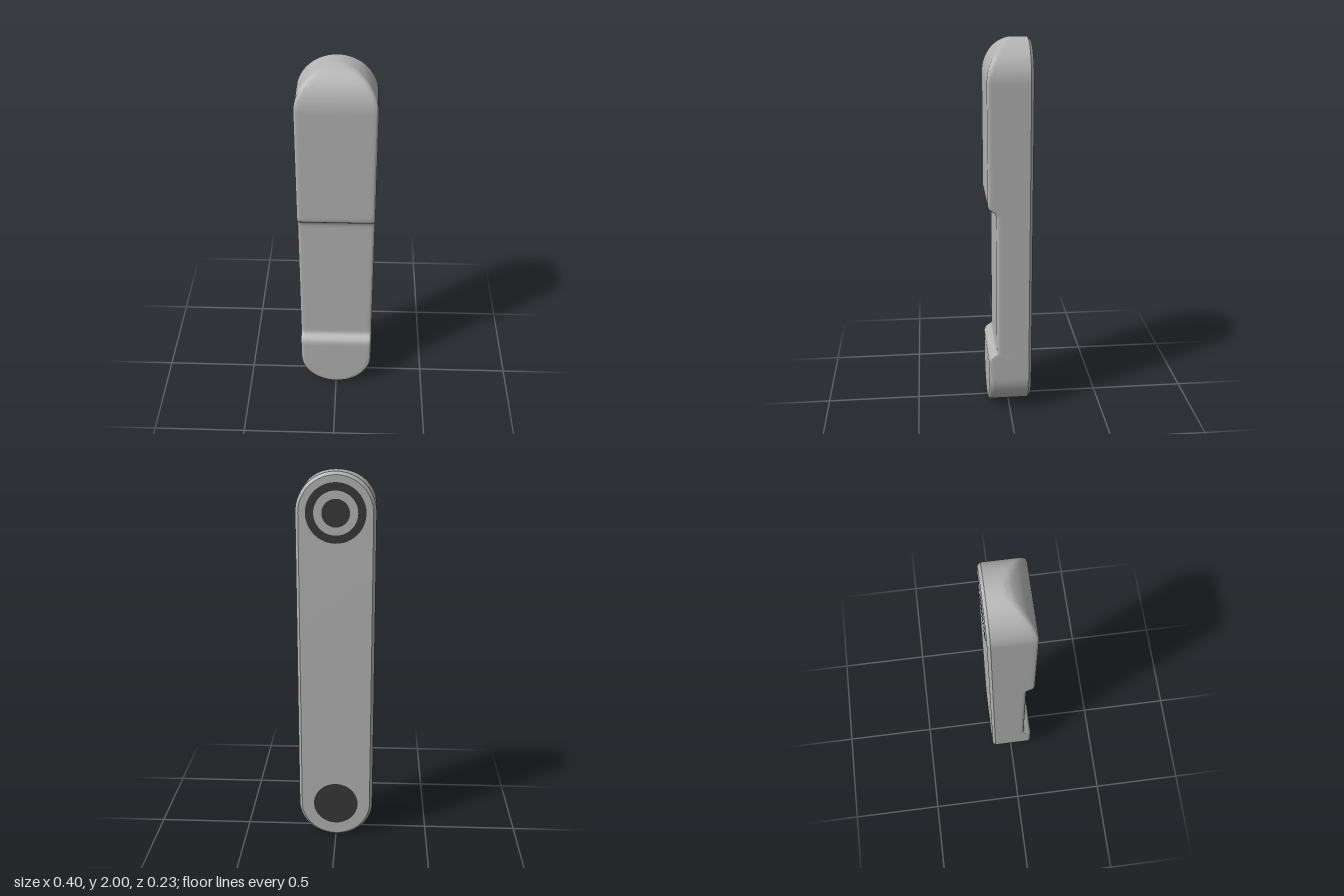
import * as THREE from 'three';
import { toCreasedNormals } from 'three/addons/utils/BufferGeometryUtils.js';

const R = 0.2, TOP = 1.8, BOTTOM = 0.2, DEPTH = 0.115, EDGE = 0.015;
const DOME = 0.231; // radius of the rounded-off top front

// Front depth by height: foot, recessed grip, raised head
const PROFILE = [
  [0.2, 0.115], [0.29, 0.115], [0.31, 0.115], [0.325, 0.111], [0.335, 0.104], [0.343, 0.094],
  [0.349, 0.083], [0.357, 0.075], [0.368, 0.072], [0.385, 0.072], [0.75, 0.072], [1.105, 0.072],
  [1.122, 0.072], [1.138, 0.075], [1.149, 0.082], [1.156, 0.092], [1.163, 0.103], [1.171, 0.111],
  [1.185, 0.115], [1.205, 0.115], [1.5, 0.115], [1.78, 0.115], [1.8, 0.115],
];

function frontDepth(y) {
  if (y <= BOTTOM) return DEPTH;
  if (y >= TOP) return DEPTH - DOME + Math.sqrt(DOME ** 2 - (y - TOP) ** 2);
  const i = PROFILE.findIndex((p) => p[0] >= y);
  if (i === 0) return PROFILE[0][1];
  const [y0, z0] = PROFILE[i - 1], [y1, z1] = PROFILE[i];
  return z0 + (z1 - z0) * (y - y0) / (y1 - y0);
}

// Right half of the rounded outline, from top to bottom, drawn in by an inset
function halfOutline(inset) {
  const pts = [], steps = 24, r = R - inset;
  for (let i = 0; i < steps; i++) {
    const a = (i / steps) * Math.PI / 2;
    pts.push([r * Math.sin(a), TOP + r * Math.cos(a)]);
  }
  for (const [y] of [...PROFILE].reverse()) pts.push([r, y]);
  for (let i = 1; i <= steps; i++) {
    const a = (i / steps) * Math.PI / 2;
    pts.push([i === steps ? 0 : r * Math.cos(a), BOTTOM - r * Math.sin(a)]);
  }
  return pts;
}

function bodyGeometry() {
  // Rings from the back bevel, along the side, over the soft front edge
  const rings = [
    { inset: EDGE, z: () => -DEPTH },
    { inset: 0, z: () => -DEPTH + EDGE },
    { inset: 0, z: (y) => frontDepth(y) - EDGE * 2 },
  ];
  for (let i = 0; i <= 4; i++) {
    const a = (i / 4) * Math.PI / 2;
    rings.push({
      inset: EDGE * (1 - Math.cos(a)),
      z: (y) => frontDepth(y) - EDGE * (1 - Math.sin(a)),
    });
  }
  rings.push({ inset: EDGE * 2, z: frontDepth });

  const loops = rings.map(({ inset, z }) => halfOutline(inset).map(([x, y]) => [x, y, z(y)]));
  const positions = [];
  const tri = (...corners) => {
    const [a, b, c] = corners.map((p) => new THREE.Vector3(...p));
    if (b.clone().sub(a).cross(c.clone().sub(a)).length() < 1e-10) return;
    for (const p of corners) positions.push(...p);
  };
  const quad = (a, b, c, d) => { tri(a, b, c); tri(a, c, d); };
  const flip = ([x, y, z]) => [-x, y, z];

  for (let k = 0; k < loops.length - 1; k++) {
    for (let i = 0; i < loops[k].length - 1; i++) {
      const a = loops[k][i], b = loops[k][i + 1], c = loops[k + 1][i + 1], d = loops[k + 1][i];
      quad(a, d, c, b);
      quad(flip(a), flip(b), flip(c), flip(d));
    }
  }
  // Front and back faces, bridged row by row between the two halves
  const back = loops[0], front = loops[loops.length - 1];
  for (let i = 0; i < front.length - 1; i++) {
    quad(front[i], flip(front[i]), flip(front[i + 1]), front[i + 1]);
    quad(flip(back[i]), back[i], back[i + 1], flip(back[i + 1]));
  }
  const geometry = new THREE.BufferGeometry();
  geometry.setAttribute('position', new THREE.Float32BufferAttribute(positions, 3));
  return toCreasedNormals(geometry, 0.6);
}

export function createModel() {
  const group = new THREE.Group();
  const bodyGrey = new THREE.MeshStandardMaterial({ name: 'bodyGrey', color: 0xb4b4b4 });
  const darkGrey = new THREE.MeshStandardMaterial({ name: 'darkGrey', color: 0x383838 });

  const add = (name, geometry, material) => {
    const mesh = new THREE.Mesh(geometry, material);
    mesh.name = name;
    group.add(mesh);
    return mesh;
  };
  add('body', bodyGeometry(), bodyGrey);

  // Flat round markings on the back
  const marking = (name, geometry, y) => {
    const mesh = add(name, geometry, darkGrey);
    mesh.rotation.y = Math.PI;
    mesh.position.set(0, y, -DEPTH - 0.002);
  };
  marking('upperBackRing', new THREE.RingGeometry(0.11, 0.15, 48), TOP);
  marking('upperBackDot', new THREE.CircleGeometry(0.07, 40), TOP);
  marking('lowerBackDisc', new THREE.CircleGeometry(0.12, 48), BOTTOM);
  return group;
}
